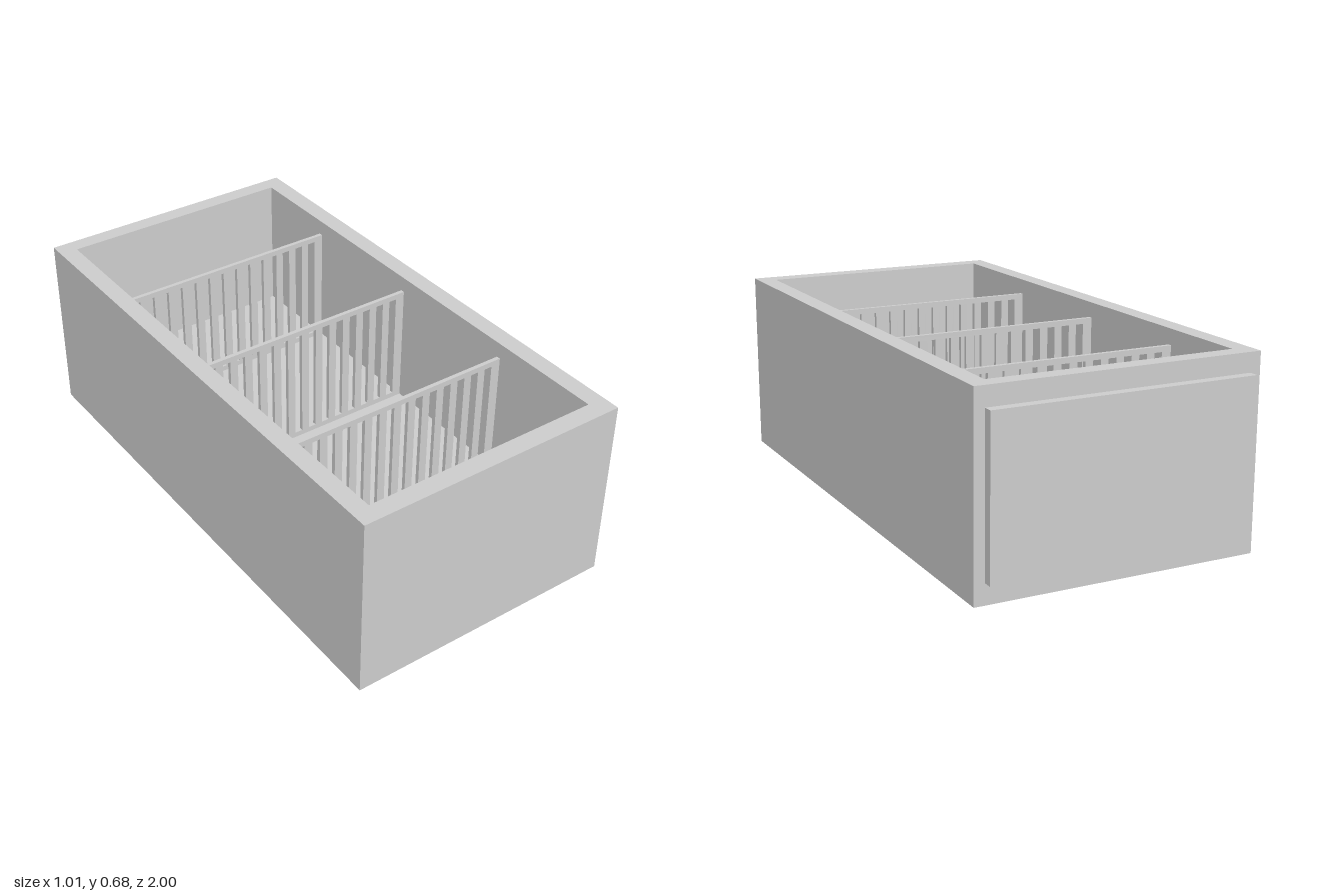
import * as THREE from 'three';

const material = new THREE.MeshStandardMaterial({ color: 0xcccccc, flatShading: true });

function rectPath(PathType, x0, y0, x1, y1) {
  const p = new PathType();
  p.moveTo(x0, y0);
  p.lineTo(x1, y0);
  p.lineTo(x1, y1);
  p.lineTo(x0, y1);
  p.closePath();
  return p;
}

function addBox(parent, name, w, h, d, x, y, z) {
  const mesh = new THREE.Mesh(new THREE.BoxGeometry(w, h, d), material);
  mesh.name = name;
  mesh.position.set(x, y, z);
  parent.add(mesh);
}

export function createModel() {
  const model = new THREE.Group();
  model.name = 'dividedBox';

  const height = 0.68, floorTop = 0.165;
  const halfW = 0.507, innerHalfW = 0.441;
  const back = -0.966, front = 1, innerBack = -0.905, innerFront = 0.933;

  // Four walls: a rectangular ring extruded upwards (shape y becomes -z)
  const ring = rectPath(THREE.Shape, -halfW, -front, halfW, -back);
  ring.holes.push(rectPath(THREE.Path, -innerHalfW, -innerFront, innerHalfW, -innerBack));
  const wallGeometry = new THREE.ExtrudeGeometry(ring, { depth: height, bevelEnabled: false });
  wallGeometry.rotateX(-Math.PI / 2);
  const walls = new THREE.Mesh(wallGeometry, material);
  walls.name = 'walls';
  model.add(walls);

  // Thick floor filling the ring
  addBox(model, 'floor', innerHalfW * 2, floorTop, innerFront - innerBack,
    0, floorTop / 2, (innerFront + innerBack) / 2);

  // Raised panel on the back
  addBox(model, 'backPanel', 0.94, 0.54, 0.034, 0, 0.342, -0.983);

  // Slotted divider: a thin plate with a row of upright openings
  const top = 0.623, rail = 0.02, slots = 14, slotW = 0.03, pitch = 0.06, thickness = 0.015;
  const plate = rectPath(THREE.Shape, -innerHalfW, floorTop, innerHalfW, top);
  for (let i = 0; i < slots; i++) {
    const x = (i - (slots - 1) / 2) * pitch;
    plate.holes.push(rectPath(THREE.Path, x - slotW / 2, floorTop + rail, x + slotW / 2, top - rail));
  }
  const dividerGeometry = new THREE.ExtrudeGeometry(plate, { depth: thickness, bevelEnabled: false });
  dividerGeometry.translate(0, 0, -thickness / 2);
  for (const z of [-0.556, -0.035, 0.5]) {
    const divider = new THREE.Mesh(dividerGeometry, material);
    divider.name = 'divider';
    divider.position.z = z;
    model.add(divider);
  }

  return model;
}
